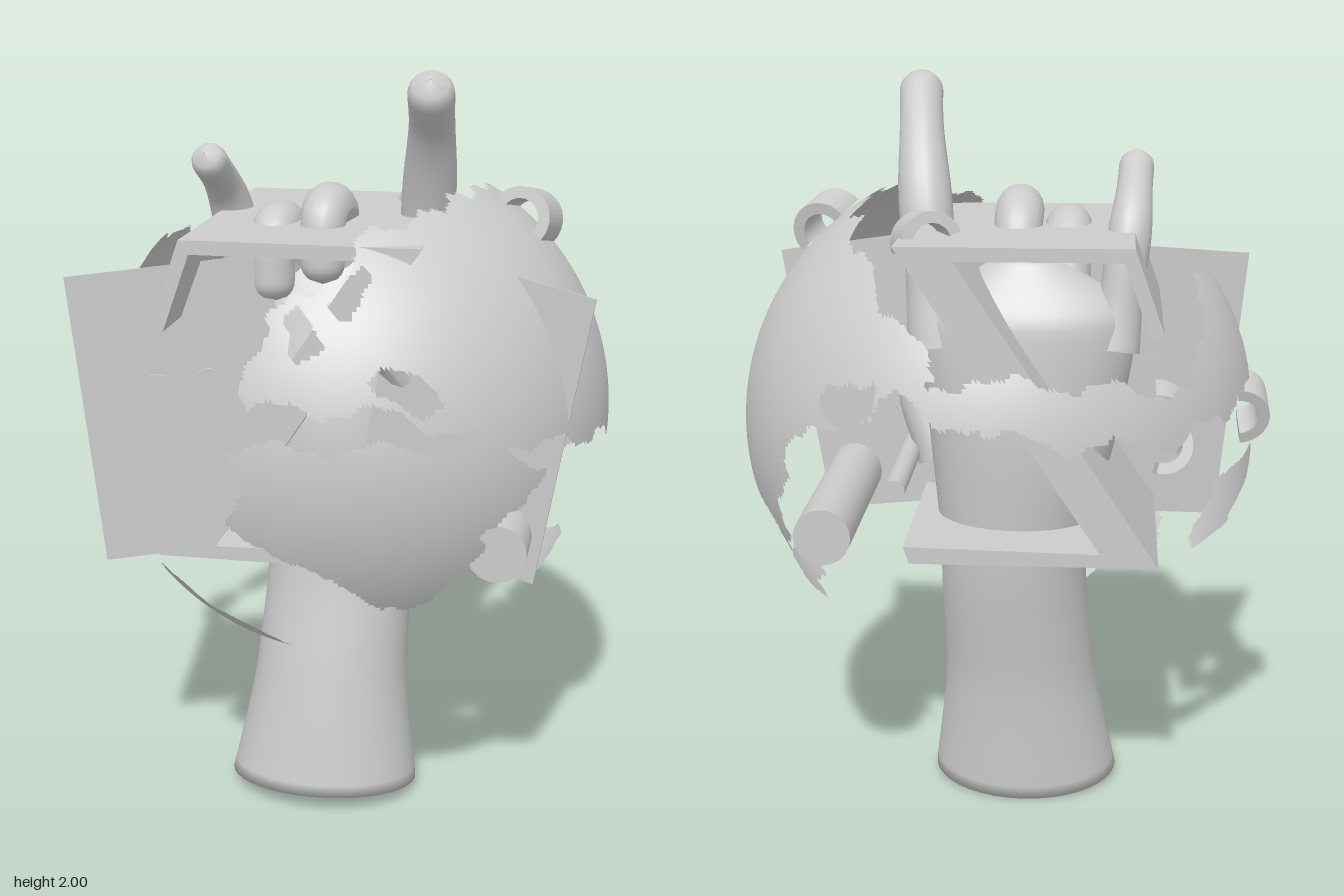
import * as THREE from 'three';

const V = (a) => new THREE.Vector3(...a);
const material = new THREE.MeshStandardMaterial({ color: 0xcccccc, side: THREE.DoubleSide });
const GLOBE = { x: 0.022, y: 1.1, r: 0.68 };

function add(parent, name, geometry) {
  const mesh = new THREE.Mesh(geometry, material);
  mesh.name = name;
  parent.add(mesh);
  return mesh;
}

// Smooth closed skin over horizontal ellipses [x, y, z, rx, rz]
function loft(sections, sides = 40, steps = 48) {
  const centre = new THREE.CatmullRomCurve3(sections.map(V));
  const size = new THREE.CatmullRomCurve3(sections.map((s) => V([s[3], s[4], 0])));
  const pos = [], index = [];
  for (let i = -1; i <= steps + 1; i++) {
    const t = THREE.MathUtils.clamp(i / steps, 0, 1);
    const c = centre.getPoint(t), k = size.getPoint(t);
    if (i < 0 || i > steps) k.setScalar(0);
    const tilt = 0.12 * Math.max(0, 1 - 3 * t);
    for (let j = 0; j <= sides; j++) {
      const a = (j / sides) * Math.PI * 2, dz = k.y * Math.cos(a);
      pos.push(c.x + k.x * Math.sin(a), c.y + dz * tilt, c.z + dz);
      if (i <= steps && j < sides) {
        const p = (i + 1) * (sides + 1) + j, q = p + sides + 1;
        index.push(p, p + 1, q, q, p + 1, q + 1);
      }
    }
  }
  const g = new THREE.BufferGeometry();
  g.setAttribute('position', new THREE.Float32BufferAttribute(pos, 3));
  g.setIndex(index);
  g.computeVertexNormals();
  return g;
}

// Tapering tube with a rounded tip and slightly swollen joints
function finger(points, r0, r1) {
  const curve = new THREE.CatmullRomCurve3(points.map(V));
  const steps = 40, sides = 18, length = curve.getLength();
  const g = new THREE.TubeGeometry(curve, steps, 1, sides);
  const p = g.attributes.position, v = new THREE.Vector3();
  for (let i = 0; i <= steps; i++) {
    const t = i / steps, c = curve.getPointAt(t);
    let r = THREE.MathUtils.lerp(r0, r1, t) * (1 + 0.05 * Math.cos(t * 12));
    const toTip = (1 - t) * length;
    if (toTip < r1) r *= Math.sqrt(Math.max(0.0004, 1 - (1 - toTip / r1) ** 2));
    for (let j = 0; j <= sides; j++) {
      const n = i * (sides + 1) + j;
      v.fromBufferAttribute(p, n).sub(c).multiplyScalar(r).add(c);
      p.setXYZ(n, v.x, v.y, v.z);
    }
  }
  g.computeVertexNormals();
  return g;
}

// Coast outlines as [longitude, latitude]; longitude 0 faces front, 90 faces +x
const NORTH = [[-14, 14], [-10, 32], [4, 39], [14, 51], [52, 60], [87, 61], [120, 54], [152, 39],
  [171, 22], [147, 9], [134, 4], [124, -24], [112, -10], [96, -4], [62, 2], [40, 6], [15, 14]];
const SOUTH = [[-14, 6], [-15, -10], [-8, -20], [6, -21], [17, -34], [34, -28], [40, -15], [53, -3], [42, 7]];
// Smaller lands and seas as ellipses [longitude, latitude, half width, half height, slope]
const ISLANDS = [[-37, -48, 20, 9, -0.55], [102, -39, 13, 5, 0], [-108, 24, 20, 13, 0.4],
  [-82, -22, 12, 12, -0.6], [200, 14, 36, 6, -0.1]];
const SEAS = [[22, 18, 7, 4, 0], [-2, 28, 4, 5, 0], [150, 15, 8, 4, 0.4], [10, 38, 4, 5, 0]];

function inOutline(poly, x, y) {
  return poly.reduce((hit, [ax, ay], i) => {
    const [bx, by] = poly[(i + 1) % poly.length];
    return ay > y !== by > y && x < ((bx - ax) * (y - ay)) / (by - ay) + ax ? !hit : hit;
  }, false);
}

function inEllipse([cx, cy, a, b, slope], x, y) {
  const dx = x - cx;
  return (dx / a) ** 2 + ((y - cy - slope * dx) / b) ** 2 < 1;
}

function isLand(x, y) {
  const within = (e) => inEllipse(e, x, y) || inEllipse(e, x + 360, y);
  return (inOutline(NORTH, x, y) || inOutline(SOUTH, x, y) || ISLANDS.some(within)) && !SEAS.some(within);
}

// Globe shell keeping only the faces that fall on land, with wavy coasts
function landShell() {
  const g = new THREE.SphereGeometry(GLOBE.r, 360, 180);
  const p = g.attributes.position, old = g.index.array, kept = [];
  const c = new THREE.Vector3(), v = new THREE.Vector3(), deg = 180 / Math.PI;
  for (let i = 0; i < old.length; i += 3) {
    c.set(0, 0, 0);
    for (let k = 0; k < 3; k++) c.add(v.fromBufferAttribute(p, old[i + k]));
    c.normalize();
    const lon = Math.atan2(c.x, c.z) * deg, lat = Math.asin(c.y) * deg;
    const x = lon + 1.6 * Math.sin(lat * 0.4) + 0.5 * Math.sin(lat * 1.1 + lon * 0.3);
    const y = lat + 1.6 * Math.sin(lon * 0.3) + 0.5 * Math.sin(lon * 0.9 + lat * 0.4);
    if (isLand(x, y)) kept.push(old[i], old[i + 1], old[i + 2]);
  }
  g.setIndex(kept);
  return g;
}

export function createModel() {
  const model = new THREE.Group();
  model.name = 'handWithGlobe';

  // Forearm, wrist and palm
  add(model, 'forearmAndPalm', loft([
    [-0.045, 0.025, 0.1, 0.26, 0.2], [-0.03, 0.35, 0.06, 0.21, 0.18], [-0.015, 0.7, 0, 0.2, 0.17],
    [-0.04, 1.05, -0.02, 0.25, 0.18], [-0.05, 1.38, -0.05, 0.29, 0.14], [-0.05, 1.54, -0.05, 0.08, 0.04],
  ]));

  // Raised outer fingers and thumb
  add(model, 'indexFinger', finger([[0.18, 1.3, -0.07], [0.215, 1.65, -0.01],
    [0.235, 1.84, 0.09], [0.25, 1.98, 0.23]], 0.078, 0.057));
  add(model, 'littleFinger', finger([[-0.28, 1.3, -0.08], [-0.32, 1.63, -0.02], [-0.335, 1.78, 0.16]], 0.065, 0.045));
  add(model, 'thumb', finger([[0.16, 0.98, 0.04], [0.23, 1.15, 0.1], [0.08, 1.38, 0.21]], 0.09, 0.06));

  // Two folded fingers share one curl
  for (const [name, x, y] of [['middleFinger', -0.025, 0.05], ['ringFinger', -0.155, 0]]) {
    add(model, name, finger([[x, 1.35 + y, -0.05], [x, 1.57 + y, 0.04],
      [x, 1.58 + y, 0.17], [x, 1.41 + y, 0.19]], 0.068, 0.056));
  }

  // Zigzag block: flat foot, diagonal, and a top bar with a hanging serif
  const outline = [[-0.405, 0.79], [0.235, 0.79], [0.25, 0.835], [-0.255, 0.825], [0.265, 1.61], [-0.33, 1.61],
    [-0.405, 1.4], [-0.375, 1.38], [-0.305, 1.575], [0.115, 1.575]];
  const zigzag = new THREE.Shape(outline.map((p) => new THREE.Vector2(...p)));
  const block = add(model, 'zigzagBlock', new THREE.ExtrudeGeometry(zigzag, { depth: 0.78, bevelEnabled: false }));
  block.position.z = -0.34;

  // Thick and thin round bars beside the block's foot
  for (const [name, x, y, r] of [['thickBar', 0.46, 0.855, 0.075], ['thinBar', 0.27, 0.985, 0.028]]) {
    const bar = add(model, name, new THREE.CylinderGeometry(r, r, 0.78, 20));
    bar.rotation.x = Math.PI / 2;
    bar.position.set(x, y, 0.05);
  }

  // Globe of land pieces
  add(model, 'globeLand', landShell()).position.set(GLOBE.x, GLOBE.y, 0);

  // Two playing cards with a raised heart in the middle
  const heart = new THREE.Shape().moveTo(0, -0.11);
  heart.bezierCurveTo(-0.2, 0.05, -0.08, 0.18, 0, 0.06);
  heart.bezierCurveTo(0.08, 0.18, 0.2, 0.05, 0, -0.11);
  const heartGeometry = new THREE.ExtrudeGeometry(heart, { depth: 0.012, bevelEnabled: false });
  for (const [name, pos, yaw, roll] of [
    ['rightCard', [-0.37, 1.13, 0.275], 0.27, 0.1],
    ['leftCard', [0.36, 1.15, 0.25], -0.27, -0.175],
  ]) {
    const card = new THREE.Group();
    card.name = name;
    add(card, 'cardSheet', new THREE.BoxGeometry(0.52, 0.77, 0.004));
    add(card, 'cardHeart', heartGeometry).position.z = -0.004;
    card.position.set(...pos);
    card.rotation.set(0, yaw, roll);
    model.add(card);
  }

  // Curved clips: arched bands, open towards the globe's middle
  const arch = new THREE.Shape();
  arch.absarc(0, 0, 0.08, 0, Math.PI, false);
  arch.absarc(0, 0, 0.05, Math.PI, 0, true);
  const clipGeometry = new THREE.ExtrudeGeometry(arch, { depth: 0.12, bevelEnabled: false });
  clipGeometry.translate(0, 0, -0.06);
  for (const [x, y, z, spin] of [[0.47, 1.61, 0, -0.3], [0.2, 1.59, -0.15, 0.4], [-0.4, 1.15, -0.18, 0.1],
    [-0.61, 1.15, -0.05, 0.3], [-0.42, 0.98, 0.14, -0.3]]) {
    const clip = add(model, 'curvedClip', clipGeometry);
    clip.position.set(x, y, z);
    const outward = V([x - GLOBE.x, y - GLOBE.y, 0]).normalize();
    clip.quaternion.setFromUnitVectors(V([0, 1, 0]), outward);
    clip.rotateY(spin);
  }
  return model;
}
